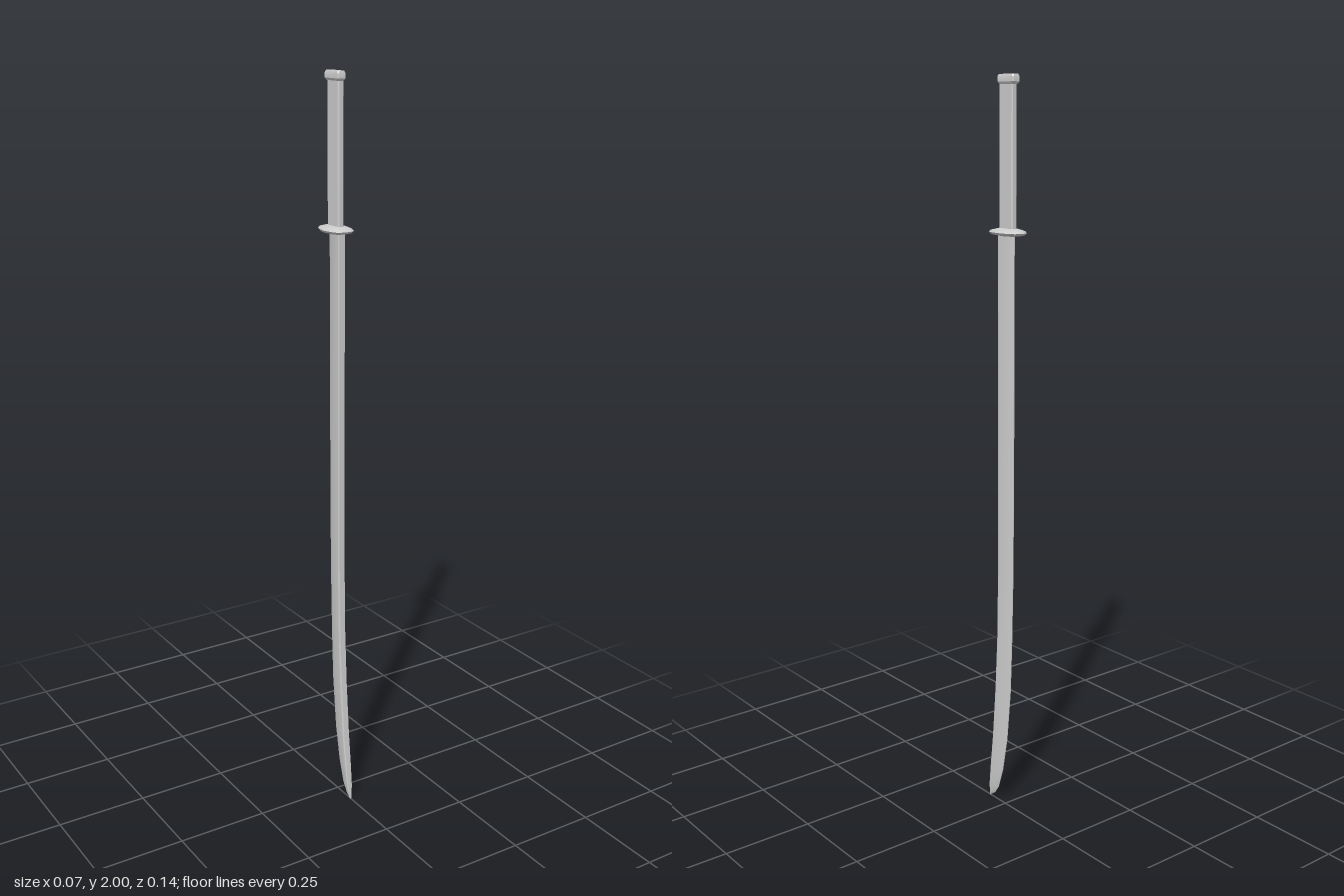
import * as THREE from 'three';
import { toCreasedNormals } from 'three/addons/utils/BufferGeometryUtils.js';

// Mirror a half outline [x, z] (front to back, x >= 0) into a closed loop.
function mirrorLoop(half) {
  const other = half.filter(([x]) => x > 0).reverse().map(([x, z]) => [-x, z]);
  return [...half, ...other];
}

// Skin a stack of loops, listed from bottom to top, and cap both ends.
function loft(rings, crease) {
  const pos = [], idx = [], n = rings[0].loop.length;
  for (const { y, loop } of rings) for (const [x, z] of loop) pos.push(x, y, z);
  for (let i = 0; i < rings.length - 1; i++) {
    for (let j = 0; j < n; j++) {
      const a = i * n + j, b = i * n + (j + 1) % n;
      idx.push(a, b, b + n, a, b + n, a + n);
    }
  }
  for (const r of [0, rings.length - 1]) {
    const { y, loop } = rings[r], centre = pos.length / 3;
    pos.push(0, y, loop.reduce((s, p) => s + p[1], 0) / n);
    for (let j = 0; j < n; j++) {
      const a = r * n + j, b = r * n + (j + 1) % n;
      if (r) idx.push(centre, a, b); else idx.push(centre, b, a);
    }
  }
  const g = new THREE.BufferGeometry();
  g.setAttribute('position', new THREE.Float32BufferAttribute(pos, 3));
  g.setIndex(idx);
  return toCreasedNormals(g, crease);
}

// Rectangle with small chamfered corners.
function chamferedLoop(w, front, back, c) {
  return mirrorLoop([[w - c, front], [w, front - c], [w, back + c], [w - c, back]]);
}

export function createModel() {
  const group = new THREE.Group();
  const material = new THREE.MeshStandardMaterial({ color: 0xcccccc });
  const add = (name, geometry) => {
    const mesh = new THREE.Mesh(geometry, material);
    mesh.name = name;
    group.add(mesh);
  };

  // Curved blade, point down: [y, spine z, edge z, half thickness]
  const bladeSections = [
    [0, 0.069, 0.066, 0.002],
    [0.015, 0.067, 0.047, 0.005],
    [0.04, 0.065, 0.030, 0.008],
    [0.1, 0.058, 0.011, 0.0095],
    [0.2, 0.046, -0.008, 0.0105],
    [0.35, 0.034, -0.023, 0.0105],
    [0.5, 0.026, -0.029, 0.0105],
    [0.7, 0.022, -0.034, 0.0105],
    [1.0, 0.021, -0.036, 0.0105],
    [1.61, 0.021, -0.037, 0.0105],
  ];
  add('blade', loft(bladeSections.map(([y, spine, edge, w]) => {
    const z = t => THREE.MathUtils.lerp(spine, edge, t);
    return { y, loop: mirrorLoop([[w * 0.75, z(0)], [w, z(0.08)], [w, z(0.55)], [w * 0.1, z(1)]]) };
  }), 0.5));

  // Oval hand guard with a domed, thin rim
  const guardOutline = mirrorLoop([
    [0, 0.043], [0.015, 0.041], [0.026, 0.035], [0.032, 0.018], [0.036, -0.01],
    [0.031, -0.04], [0.02, -0.063], [0, -0.07],
  ]);
  const guardRings = [[1.603, 0.5], [1.606, 0.88], [1.612, 1], [1.617, 0.9], [1.622, 0.5]];
  add('guard', loft(guardRings.map(([y, s]) => ({
    y, loop: guardOutline.map(([x, z]) => [x * s, -0.0125 + (z + 0.0125) * s]),
  })), 0.8));

  // Straight grip
  add('grip', loft([1.615, 1.985].map(y => ({
    y, loop: chamferedLoop(0.0085, 0.016, -0.037, 0.003),
  })), 0.5));

  // Flared pommel cap
  const pommelRings = [[1.976, 0], [1.982, 0.0035], [1.994, 0.0035], [2.0, 0.001]];
  add('pommel', loft(pommelRings.map(([y, e]) => ({
    y, loop: chamferedLoop(0.0085 + e, 0.016 + e, -0.041 - e, 0.003),
  })), 0.5));

  return group;
}
